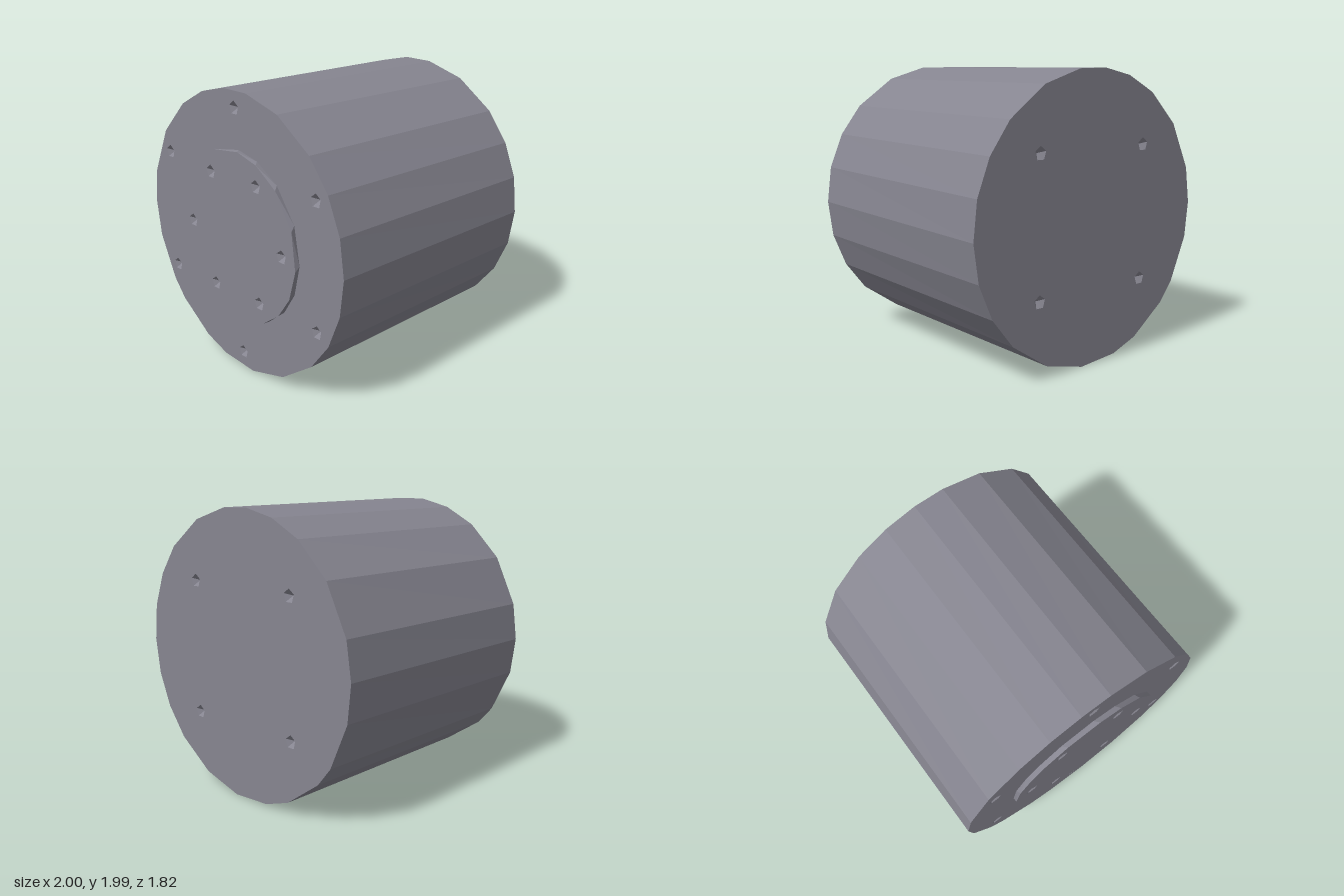
import * as THREE from 'three';

const material = new THREE.MeshStandardMaterial({ color: 0x868590, flatShading: true, side: THREE.DoubleSide });
const PIT_RADIUS = 0.048, PIT_DEPTH = 0.04;
const RAD = Math.PI / 180;

// Slightly uneven facet angles (degrees) of the drum and of the raised disc
const DRUM = [0, 15, 30, 45, 65, 83, 96, 110, 125, 144, 165, 180, 195, 215, 225, 245, 258, 276, 295, 315, 330, 345];
const DISC = [19, 45, 66, 84, 109, 130, 143, 161, 181, 192, 207, 229, 246, 267, 283, 296, 315, 333, 354];

const ring = (angles, radius, twist = 0) =>
  angles.map(a => new THREE.Vector2(radius * Math.cos((a + twist) * RAD), radius * Math.sin((a + twist) * RAD)));

// Evenly spaced points on a bolt circle
const boltCircle = (count, radius, start) =>
  ring(Array.from({ length: count }, (_, i) => start + i * 360 / count), radius);

function addMesh(parent, name, geometry) {
  const mesh = new THREE.Mesh(geometry, material);
  mesh.name = name;
  parent.add(mesh);
  return mesh;
}

// Faceted wall joining a back ring to a front ring
function wall(back, front, zBack, zFront) {
  const n = front.length;
  const geometry = new THREE.CylinderGeometry(1, 1, 1, n, 1, true);
  const pos = geometry.attributes.position;
  for (let i = 0; i < pos.count; i++) {
    const isFront = i <= n;
    const p = (isFront ? front : back)[i % (n + 1) % n];
    pos.setXYZ(i, p.x, p.y, isFront ? zFront : zBack);
  }
  geometry.computeVertexNormals();
  return geometry;
}

// Flat face pierced by five-sided conical pits; dir is +1 for front, -1 for back
function pittedFace(parent, name, outline, z, dir, pits, opening) {
  const group = new THREE.Group();
  group.name = name;
  const shape = new THREE.Shape(outline);
  if (opening) shape.holes.push(new THREE.Path(opening));
  const pentagon = boltCircle(5, PIT_RADIUS, 90);
  for (const c of pits) {
    shape.holes.push(new THREE.Path(pentagon.map(p => p.clone().add(c))));
    const cone = new THREE.ConeGeometry(PIT_RADIUS, PIT_DEPTH, 5, 1, true);
    cone.rotateX(-Math.PI / 2);
    addMesh(group, 'boltPit', cone).position.set(c.x, c.y, -PIT_DEPTH / 2);
  }
  addMesh(group, name + 'Plate', new THREE.ShapeGeometry(shape));
  if (dir < 0) group.rotation.y = Math.PI;
  group.position.z = z;
  parent.add(group);
}

export function createModel() {
  const model = new THREE.Group();
  model.name = 'drum';
  const body = new THREE.Group();
  body.name = 'body';
  body.position.y = 1;
  model.add(body);

  const zBack = -0.91, zShoulder = 0.875, zFront = 0.91;
  const drumFront = ring(DRUM, 1);
  const drumBack = ring(DRUM, 1, -1);
  const discFront = ring(DISC, 0.61);
  const discBase = ring(DISC, 0.61, 3);

  // Drum and raised disc walls
  addMesh(body, 'drumWall', wall(drumBack, drumFront, zBack, zShoulder));
  addMesh(body, 'discWall', wall(discBase, discFront, zShoulder, zFront));

  // Front flange, disc face and back face with their bolt pits
  pittedFace(body, 'flange', drumFront, zShoulder, 1, boltCircle(6, 0.88, 30), discBase);
  pittedFace(body, 'discFace', discFront, zFront, 1, boltCircle(6, 0.475, 0));
  const mirrored = drumBack.map(p => new THREE.Vector2(-p.x, p.y)).reverse();
  pittedFace(body, 'backFace', mirrored, zBack, -1, boltCircle(4, 0.67, 45));

  return model;
}
